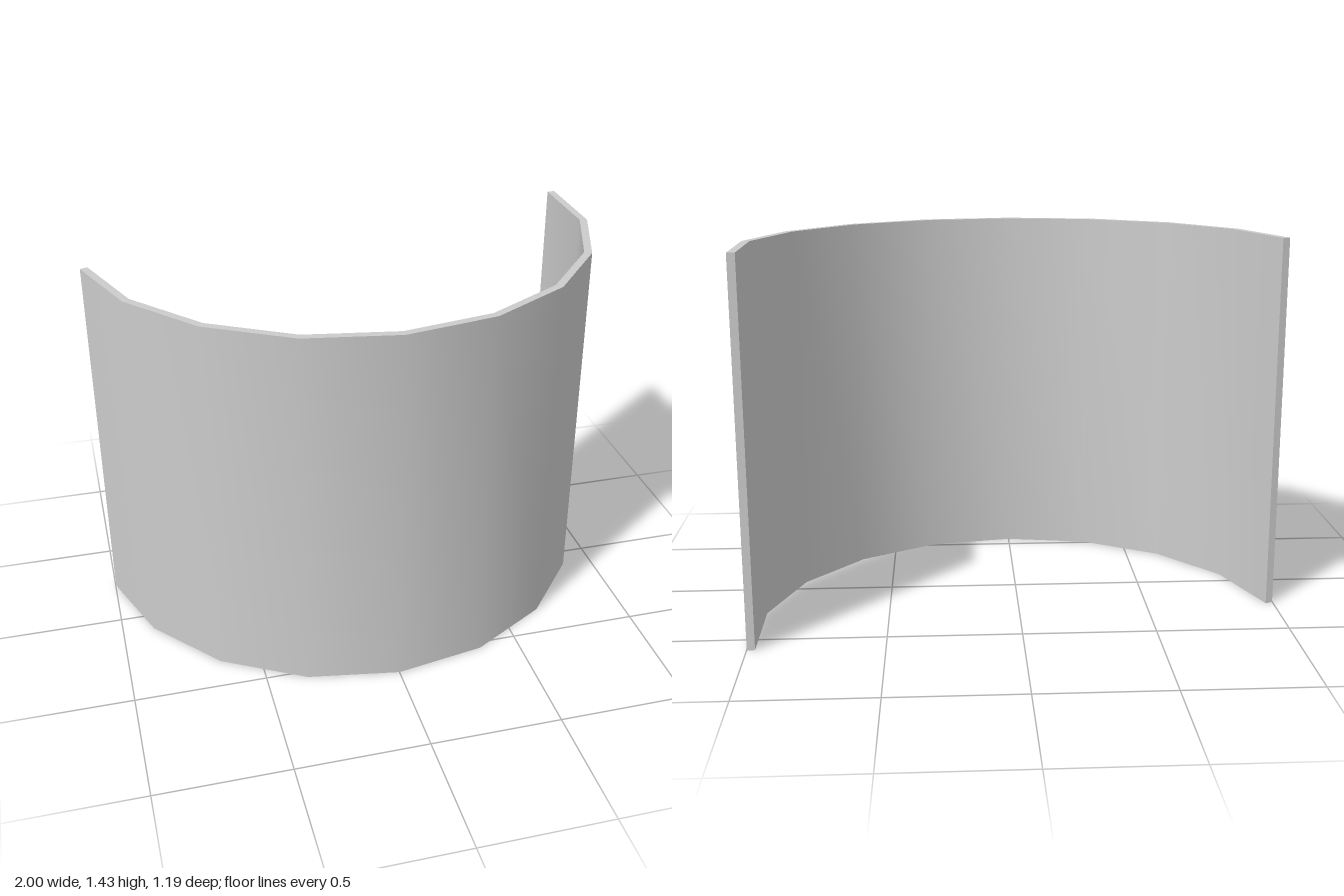
import * as THREE from 'three';
import { toCreasedNormals } from 'three/addons/utils/BufferGeometryUtils.js';

const HEIGHT = 1.43;
const HALF_THICKNESS = 0.0148;
const CENTRE_Z = -0.42;
const START = -80, END = 100, STEP = 20; // degrees from the front, towards +x

// One side of the wall's plan: mitred at the joints, cut square at both ends
function planSide(offset) {
  const points = [];
  const half = THREE.MathUtils.degToRad(STEP / 2);
  for (let deg = START; deg <= END; deg += STEP) {
    const a = THREE.MathUtils.degToRad(deg);
    let normal = a, reach = offset / Math.cos(half);
    if (deg === START) { normal = a + half; reach = offset; }
    if (deg === END) { normal = a - half; reach = offset; }
    points.push(new THREE.Vector2(
      Math.sin(a) + reach * Math.sin(normal),
      -(CENTRE_Z + Math.cos(a) + reach * Math.cos(normal))
    ));
  }
  return points;
}

export function createModel() {
  const group = new THREE.Group();
  group.name = 'curvedScreen';

  // Upright wall, smooth around the curve with sharp rims and ends
  const outline = [...planSide(HALF_THICKNESS), ...planSide(-HALF_THICKNESS).reverse()];
  const extruded = new THREE.ExtrudeGeometry(new THREE.Shape(outline), { depth: HEIGHT, bevelEnabled: false });
  extruded.rotateX(-Math.PI / 2);
  const wall = new THREE.Mesh(
    toCreasedNormals(extruded, Math.PI / 5),
    new THREE.MeshStandardMaterial({ color: 0xcccccc })
  );
  wall.name = 'curvedWall';
  group.add(wall);
  return group;
}
